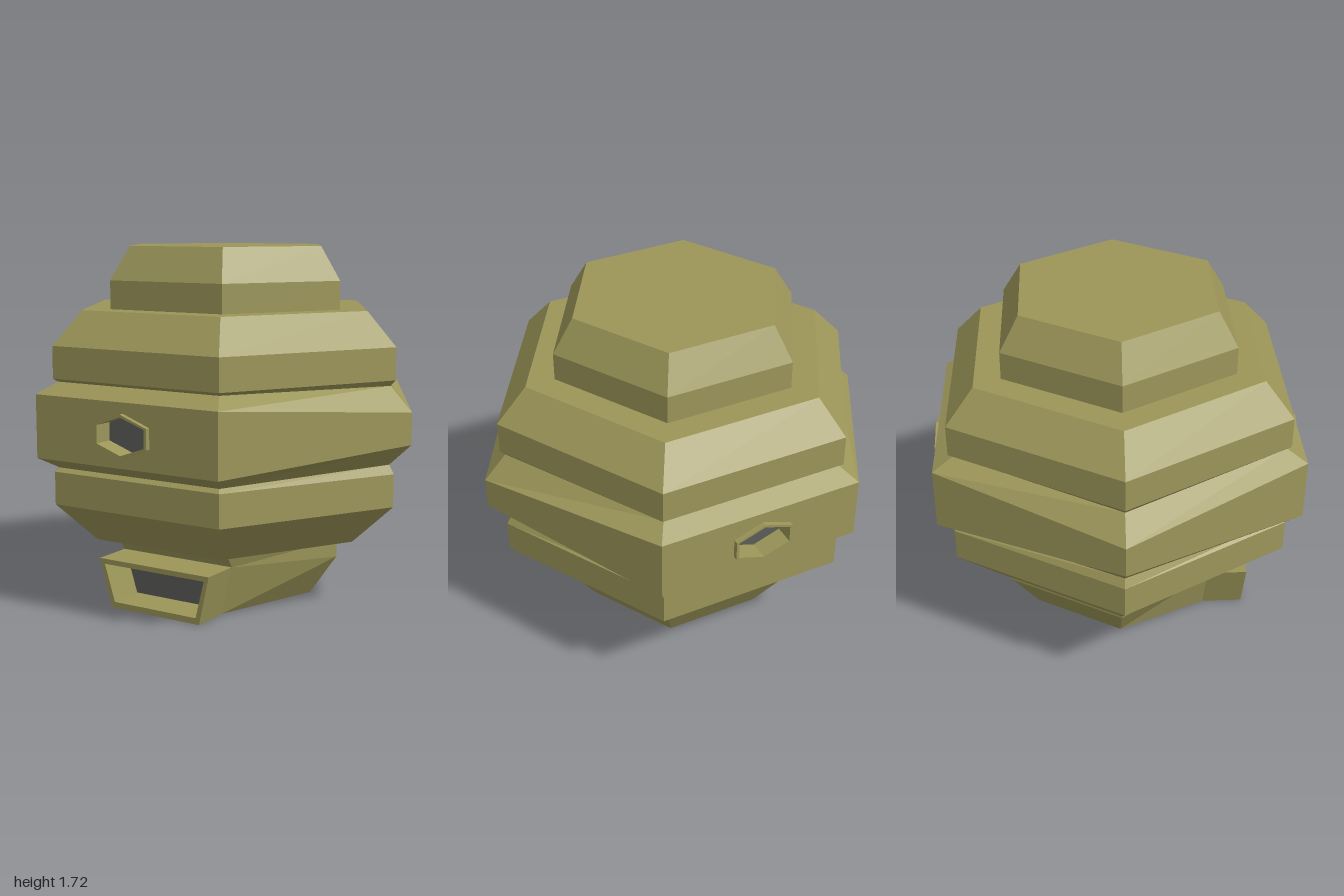
import * as THREE from 'three';

const olive = new THREE.MeshStandardMaterial({ color: 0x9c9659, flatShading: true });
const grey = new THREE.MeshStandardMaterial({ color: 0x5c5c59, side: THREE.DoubleSide });

// Six corners of a ring; corners 0 and 3 lie on the x axis and may have their own height
const ring = (r, y, ySide = y) => Array.from({ length: 6 }, (_, k) => {
  const a = k * Math.PI / 3;
  return [r * Math.cos(a), k % 3 ? y : ySide, r * Math.sin(a)];
});

// Ring with its two front corners moved
const frontRing = (r, y, x, yf, z) => {
  const p = ring(r, y);
  p[1] = [x, yf, z];
  p[2] = [-x, yf, z];
  return p;
};

// Skin a stack of rings listed from top to bottom
function loft(name, rings, { top = false, bottom = false, skip = () => false } = {}) {
  const pos = [];
  const tri = (...pts) => pts.forEach(p => pos.push(...p));
  for (let i = 0; i < rings.length - 1; i++) {
    const [u, l] = [rings[i], rings[i + 1]];
    for (let k = 0; k < 6; k++) {
      if (skip(i, k)) continue;
      const n = (k + 1) % 6;
      tri(u[k], u[n], l[n]);
      tri(u[k], l[n], l[k]);
    }
  }
  const t = rings[0], b = rings[rings.length - 1];
  for (let k = 1; k < 5; k++) {
    if (top) tri(t[0], t[k + 1], t[k]);
    if (bottom) tri(b[0], b[k], b[k + 1]);
  }
  const g = new THREE.BufferGeometry();
  g.setAttribute('position', new THREE.Float32BufferAttribute(pos, 3));
  g.computeVertexNormals();
  return mesh(name, g, olive);
}

function mesh(name, geometry, material) {
  const m = new THREE.Mesh(geometry, material);
  m.name = name;
  return m;
}

const vecs = pts => pts.map(([x, y]) => new THREE.Vector2(x, y));
const holed = (outer, inner) => {
  const s = new THREE.Shape(vecs(outer));
  s.holes.push(new THREE.Path(vecs(inner)));
  return s;
};
const tube = (shape, depth) => new THREE.ExtrudeGeometry(shape, { depth, bevelEnabled: false });

// Window outline, pointed at top and bottom
const windowHex = (w, h, side) => [[0, 0.89 - h], [w, 0.89 - side], [w, 0.89 + side],
  [0, 0.89 + h], [-w, 0.89 + side], [-w, 0.89 - side]];

// Flat band face with a recessed window
function windowFace(name) {
  const g = new THREE.Group();
  g.name = name;
  const outer = windowHex(0.143, 0.1, 0.048);
  const inner = windowHex(0.13, 0.087, 0.042);
  const face = mesh('bandFace', new THREE.ShapeGeometry(
    holed([[-0.5, 0.74], [0.5, 0.74], [0.5, 1.04], [-0.5, 1.04]], inner)), olive);
  face.position.z = 0.866;
  const frame = mesh('windowFrame', tube(holed(outer, inner), 0.1), olive);
  frame.position.z = 0.79;
  const pane = mesh('windowPane', new THREE.ShapeGeometry(new THREE.Shape(vecs(outer))), grey);
  pane.position.z = 0.795;
  g.add(face, frame, pane);
  return g;
}

// Hollow spout with a leaning mouth
function spout() {
  const g = new THREE.Group();
  g.name = 'spout';
  const inner = [[-0.232, 0.03], [0.232, 0.03], [0.282, 0.213], [-0.282, 0.213]];
  const lean = geo => {
    const p = geo.attributes.position;
    for (let i = 0; i < p.count; i++) p.setZ(i, p.getZ(i) + p.getY(i) * 0.045);
    geo.computeVertexNormals();
    return geo;
  };
  const walls = mesh('spoutWalls', lean(tube(
    holed([[-0.25, 0], [0.25, 0], [0.31, 0.238], [-0.31, 0.238]], inner), 0.2)), olive);
  walls.position.z = 0.44;
  const back = mesh('spoutBack', lean(new THREE.ShapeGeometry(new THREE.Shape(vecs(inner)))), grey);
  back.position.z = 0.46;
  g.add(walls, back);
  return g;
}

export function createModel() {
  const model = new THREE.Group();
  model.name = 'hexagonalHive';
  const upperGroove = ring(0.89, 1.092, 1.08);
  const lowerGroove = ring(0.89, 0.685, 0.71);

  // Stacked hexagonal tiers
  model.add(
    loft('topCap', [ring(0.52, 1.715), ring(0.622, 1.555), ring(0.622, 1.42)], { top: true }),
    loft('upperTier', [ring(0.765, 1.42), ring(0.915, 1.26), ring(0.915, 1.107), upperGroove], { top: true }),
    loft('middleBand', [upperGroove, ring(1, 1.04, 0.965), ring(1, 0.74, 0.813), lowerGroove],
      { skip: (i, k) => i === 1 && k % 3 === 1 }),
    loft('lowerTier', [lowerGroove, ring(0.915, 0.667), ring(0.915, 0.51), ring(0.705, 0.315)], { bottom: true }),
    loft('base', [frontRing(0.622, 0.315, 0.31, 0.315, 0.5), frontRing(0.622, 0.23, 0.31, 0.236, 0.453),
      frontRing(0.48, 0.03, 0.25, 0, 0.44)], { bottom: true }),
    spout()
  );

  // Front and back windows
  const back = windowFace('backWindow');
  back.rotation.y = Math.PI;
  model.add(windowFace('frontWindow'), back);
  return model;
}
